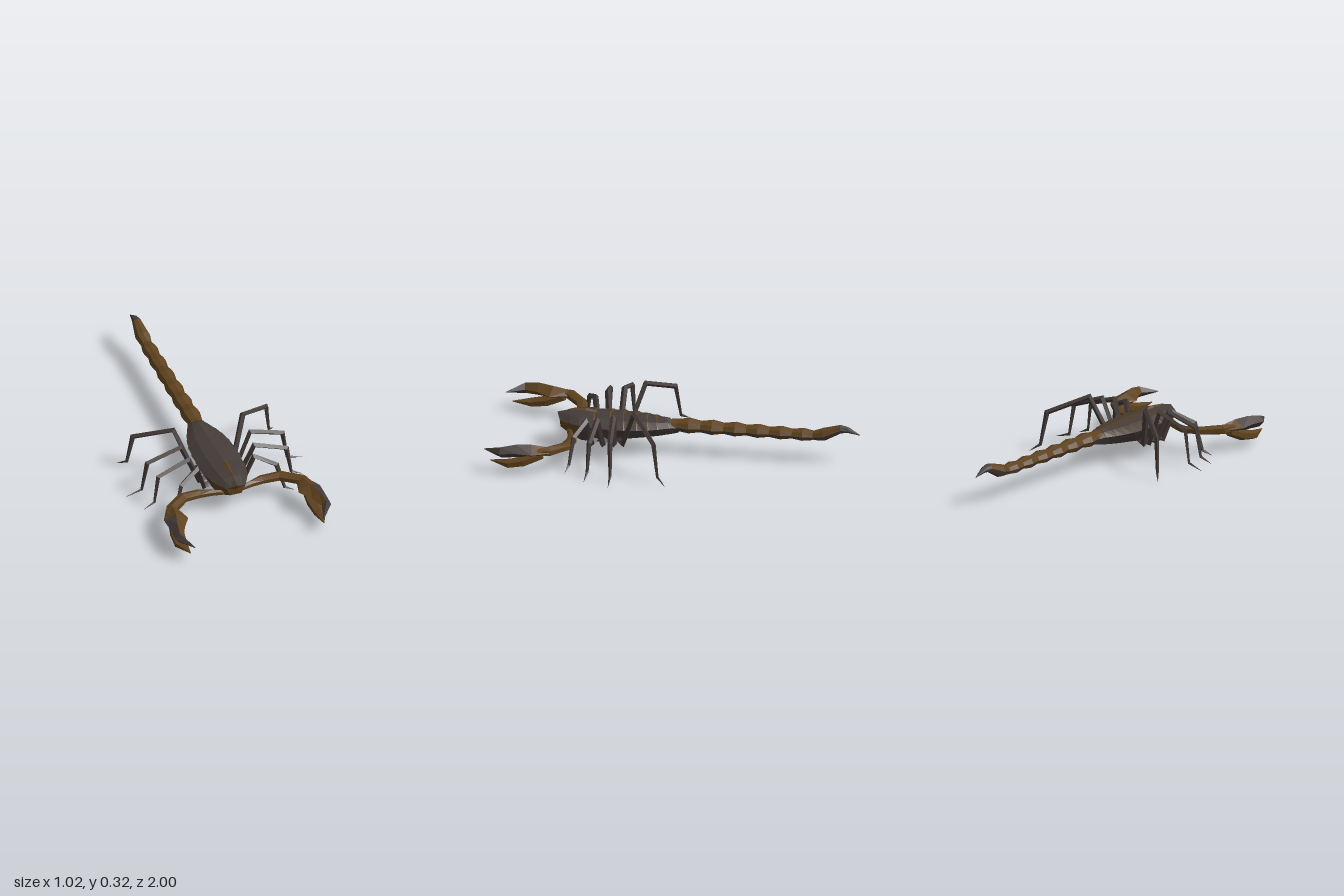
import * as THREE from 'three';

const mat = (name, color) => {
  const m = new THREE.MeshStandardMaterial({ color, flatShading: true });
  m.name = name;
  return m;
};

// Skin a list of equal-length rings; pick(i, j) gives the material index of each facet.
// side = -1 mirrors the part in x.
function loft(name, rings, mats, pick = () => 0, side = 1) {
  const buckets = mats.map(() => []);
  const n = rings[0].length, last = rings.length - 1;
  const tri = (m, a, b, c) => {
    for (const p of side > 0 ? [a, b, c] : [a, c, b]) buckets[m].push(p.x * side, p.y, p.z);
  };
  for (let i = 0; i < last; i++) {
    for (let j = 0; j < n; j++) {
      const k = (j + 1) % n, m = pick(i, j);
      tri(m, rings[i][j], rings[i][k], rings[i + 1][k]);
      tri(m, rings[i][j], rings[i + 1][k], rings[i + 1][j]);
    }
  }
  const mid = (r) => r.reduce((s, p) => s.add(p), new THREE.Vector3()).divideScalar(n);
  const c0 = mid(rings[0]), c1 = mid(rings[last]);
  for (let j = 0; j < n; j++) {
    const k = (j + 1) % n;
    tri(pick(0, j), c0, rings[0][k], rings[0][j]);
    tri(pick(last, j), c1, rings[last][j], rings[last][k]);
  }
  const geo = new THREE.BufferGeometry();
  geo.setAttribute('position', new THREE.Float32BufferAttribute(buckets.flat(), 3));
  let start = 0;
  buckets.forEach((b, m) => {
    if (b.length) geo.addGroup(start, b.length / 3, m);
    start += b.length / 3;
  });
  geo.computeVertexNormals();
  const mesh = new THREE.Mesh(geo, mats);
  mesh.name = name;
  return mesh;
}

// Rings along a path of [x, y, z, radius along ref, radius across].
function limbRings(path, ref, n) {
  const pts = path.map((p) => new THREE.Vector3(p[0], p[1], p[2]));
  return pts.map((c, i) => {
    const dir = (a, b) => pts[b].clone().sub(pts[a]).normalize();
    const t = new THREE.Vector3();
    if (i > 0) t.add(dir(i - 1, i));
    if (i < pts.length - 1) t.add(dir(i, i + 1));
    t.normalize();
    const u = ref.clone().addScaledVector(t, -ref.dot(t)).normalize();
    const v = t.clone().cross(u);
    const [, , , ru, rv = ru] = path[i];
    return Array.from({ length: n }, (_, j) => {
      const a = (j / n) * Math.PI * 2;
      return c.clone().addScaledVector(u, Math.cos(a) * ru).addScaledVector(v, Math.sin(a) * rv);
    });
  });
}

export function createModel() {
  const group = new THREE.Group();
  const shell = mat('greyShell', 0x453c39);
  const brown = mat('brownShell', 0x5e421e);
  const up = new THREE.Vector3(0, 1, 0);

  // Body: overlapping back plates, [z, half width, top, edge height, bottom]
  const ring = ([z, w, top, edge, bottom], grow = 0) => {
    const W = w + grow, T = top + grow;
    return [
      [W, edge, 0], [W * 0.58, T - 0.014, 0.01], [0, T, 0.022], [-W * 0.58, T - 0.014, 0.01],
      [-W, edge, 0], [-W * 0.6, bottom, 0], [W * 0.6, bottom, 0],
    ].map(([x, y, dz]) => new THREE.Vector3(x, y, z + dz));
  };
  const plates = [
    [0.03, 0.052, 0.198, 0.165, 0.122], [0.09, 0.08, 0.203, 0.165, 0.115],
    [0.14, 0.098, 0.206, 0.165, 0.11], [0.2, 0.112, 0.208, 0.165, 0.104],
    [0.27, 0.12, 0.21, 0.165, 0.095], [0.34, 0.122, 0.212, 0.165, 0.08],
    [0.43, 0.118, 0.214, 0.165, 0.066],
  ];
  const bodyRings = [ring([-0.01, 0.04, 0.192, 0.162, 0.13])];
  plates.forEach((p) => {
    bodyRings.push(ring(p));
    bodyRings.push(ring([p[0] + 0.007, ...p.slice(1)], 0.005));
  });
  const steps = bodyRings.length;
  bodyRings.push(ring([0.52, 0.108, 0.218, 0.168, 0.068]));
  bodyRings.push(ring([0.57, 0.09, 0.214, 0.17, 0.09]));
  bodyRings.push(ring([0.635, 0.055, 0.197, 0.172, 0.125]));
  const end = bodyRings.length - 1;
  group.add(loft('body', bodyRings, [shell, brown], (i, j) => {
    if (i === end) return 1;
    if (i >= steps) return j === 4 || j === 6 ? 1 : 0;
    return i % 2 === 1 && j < 4 ? 1 : 0;
  }));

  // Ridge along the middle of the head shield
  group.add(loft('headRidge', limbRings([
    [0, 0.214, 0.44, 0.006, 0.012], [0, 0.22, 0.5, 0.009, 0.013], [0, 0.214, 0.59, 0.004, 0.004],
  ], up, 4), [brown]));

  // Tail: a chain of beads ending in a hooked stinger
  const tail = [[0, 0.165, 0.03, 0.032, 0.042]];
  const necks = [0, -0.13, -0.255, -0.38, -0.505, -0.63, -0.745];
  for (let i = 0; i < necks.length - 1; i++) {
    const k = 1 - i * 0.035, y = 0.165 - i * 0.0015;
    tail.push([0, y, necks[i], 0.031 * k, 0.042 * k]);
    tail.push([0, y, (necks[i] + necks[i + 1]) / 2, 0.042 * k, 0.054 * k]);
  }
  group.add(loft('tail', limbRings([...tail, [0, 0.155, -0.745, 0.026, 0.031]], up, 8),
    [brown, shell], (i, j) => (i % 2 === 1 && (j === 2 || j === 5) ? 1 : 0)));
  group.add(loft('stinger', limbRings([
    [0, 0.155, -0.745, 0.026, 0.031], [0, 0.167, -0.805, 0.036, 0.042],
    [0, 0.203, -0.895, 0.024, 0.026], [0, 0.2, -0.935, 0.016, 0.018],
    [0, 0.174, -1, 0.002, 0.002],
  ], up, 8), [brown, shell], (i, j) => (i >= 2 || j === 2 || j === 5 ? 1 : 0)));

  // Legs, rear to front: hip, knee, ankle, heel and toe
  const legs = [
    [[0.12, 0.085, 0.28], [0.2, 0.307, 0.205], [0.385, 0.215, 0.07], [0.41, 0.035, 0.045], [0.45, 0.002, 0]],
    [[0.12, 0.08, 0.33], [0.2, 0.272, 0.32], [0.39, 0.205, 0.308], [0.42, 0.03, 0.302], [0.51, 0.002, 0.3]],
    [[0.12, 0.075, 0.39], [0.19, 0.248, 0.41], [0.37, 0.19, 0.425], [0.395, 0.03, 0.432], [0.46, 0.002, 0.44]],
    [[0.115, 0.075, 0.45], [0.165, 0.225, 0.475], [0.275, 0.175, 0.525], [0.315, 0.025, 0.545], [0.37, 0.002, 0.56]],
  ];
  const thick = [[0.016, 0.018], [0.017, 0.019], [0.014, 0.016], [0.008, 0.009], [0.001, 0.001]];

  for (const side of [1, -1]) {
    const label = side > 0 ? 'left' : 'right';
    legs.forEach((leg, i) => {
      const [a, b] = [leg[0], leg[4]];
      const normal = new THREE.Vector3(b[2] - a[2], 0, a[0] - b[0]).normalize();
      const path = leg.map((p, k) => [...p, ...thick[k]]);
      path.unshift([0.05, 0.092, a[2] - (b[2] - a[2]) * 0.15, 0.024, 0.022]);
      group.add(loft(`${label}Leg${i + 1}`, limbRings(path, normal, 4), [shell], undefined, side));
    });

    // Pincer arm
    group.add(loft(`${label}Arm`, limbRings([
      [0.05, 0.115, 0.585, 0.014, 0.014], [0.11, 0.115, 0.568, 0.02, 0.016],
      [0.18, 0.115, 0.55, 0.02, 0.03], [0.28, 0.124, 0.564, 0.022, 0.035],
      [0.375, 0.13, 0.645, 0.027, 0.034], [0.39, 0.13, 0.71, 0.024, 0.036],
    ], up, 6), [brown], undefined, side));

    // Hand with the upper finger, grey on its outer side and tip
    group.add(loft(`${label}UpperClaw`, limbRings([
      [0.375, 0.13, 0.64, 0.024, 0.03], [0.385, 0.132, 0.74, 0.036, 0.067],
      [0.408, 0.135, 0.82, 0.037, 0.042], [0.424, 0.128, 0.9, 0.03, 0.026],
      [0.37, 0.118, 1, 0.002, 0.002],
    ], up, 4), [brown, shell], (i, j) => (i >= 3 || (i > 0 && j >= 2) ? 1 : 0), side));

    // Lower finger
    group.add(loft(`${label}LowerClaw`, limbRings([
      [0.385, 0.11, 0.68, 0.022, 0.03], [0.395, 0.072, 0.78, 0.03, 0.042],
      [0.402, 0.056, 0.86, 0.025, 0.038], [0.385, 0.062, 0.965, 0.002, 0.002],
    ], up, 6), [brown], undefined, side));
  }
  return group;
}
